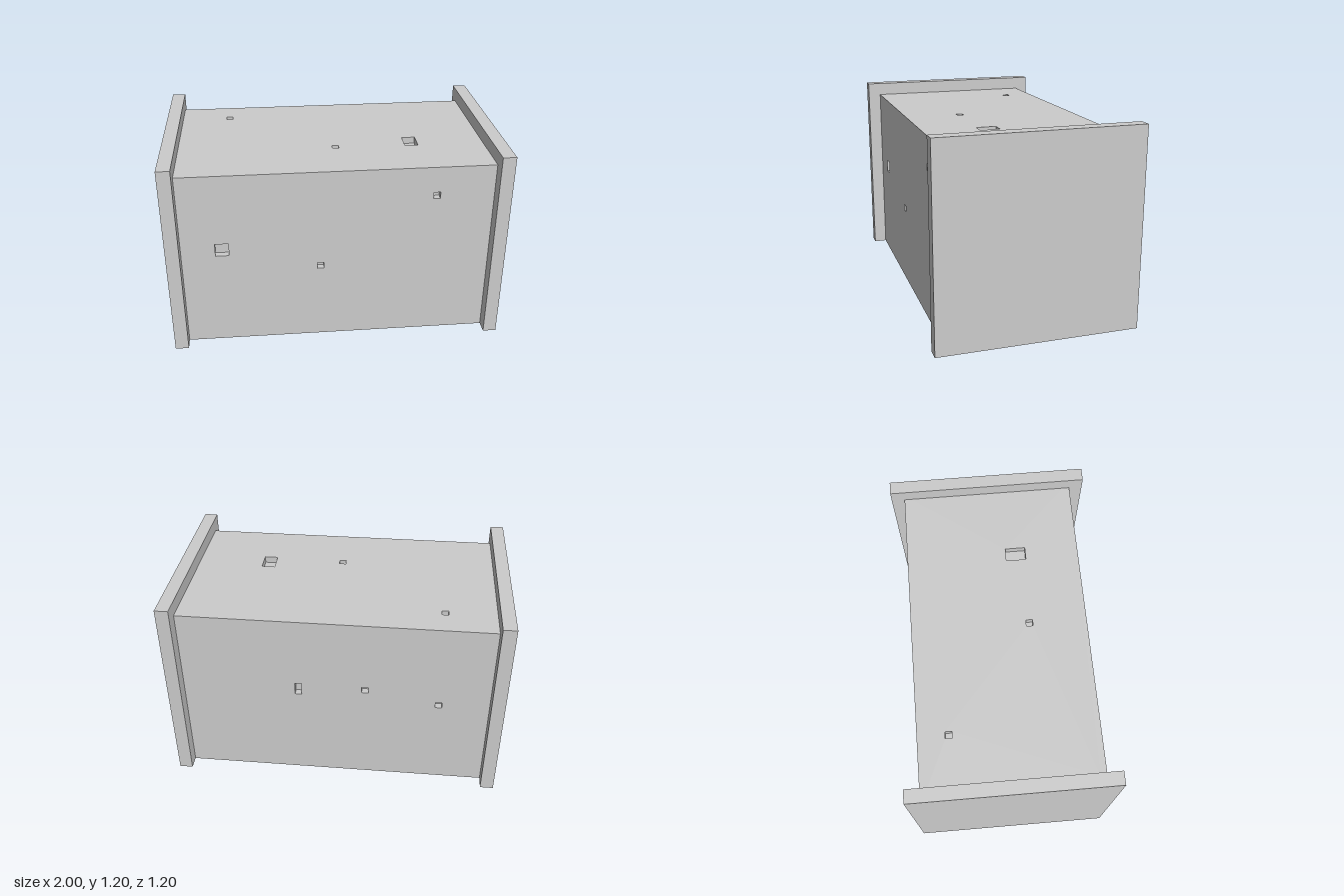
import * as THREE from 'three';

const U = 0.04; // pocket depth and skin thickness

// Rectangle path from [x0, x1, y0, y1]
function rectangle(path, [x0, x1, y0, y1]) {
  path.moveTo(x0, y0);
  path.lineTo(x1, y0);
  path.lineTo(x1, y1);
  path.lineTo(x0, y1);
  path.closePath();
  return path;
}

// Flat skin with rectangular openings, one pocket depth thick
function skin(outline, openings) {
  const shape = rectangle(new THREE.Shape(), outline);
  for (const o of openings) shape.holes.push(rectangle(new THREE.Path(), o));
  return new THREE.ExtrudeGeometry(shape, { depth: U, bevelEnabled: false });
}

export function createModel() {
  const model = new THREE.Group();
  model.name = 'crate';
  const material = new THREE.MeshStandardMaterial({ color: 0xcccccc, flatShading: true });
  const add = (name, geometry) => {
    const mesh = new THREE.Mesh(geometry, material);
    mesh.name = name;
    model.add(mesh);
    return mesh;
  };

  // Square end plates
  for (const [name, side] of [['leftEndPlate', 1], ['rightEndPlate', -1]]) {
    add(name, new THREE.BoxGeometry(0.08, 1.2, 1.2)).position.set(side * 0.96, 0.6, 0);
  }

  // Solid core, forming the pocket floors
  add('bodyCore', new THREE.BoxGeometry(1.84, 1.08, 0.96)).position.y = 0.54;

  // Front skin with one large and two small pockets
  add('frontSkin', skin([-0.92, 0.92, 0, 1.12], [
    [-0.72, -0.64, 0.60, 0.68],
    [-0.12, -0.08, 0.48, 0.52],
    [0.56, 0.60, 0.92, 0.96],
  ])).position.z = 0.48;

  // Back skin with one tall and two small pockets
  add('backSkin', skin([-0.92, 0.92, 0, 1.12], [
    [0.20, 0.24, 0.60, 0.68],
    [-0.20, -0.16, 0.64, 0.68],
    [-0.64, -0.60, 0.56, 0.60],
  ])).position.z = -0.52;

  // Top skin, drawn with y = -z and laid flat
  add('topSkin', skin([-0.92, 0.92, -0.48, 0.48], [
    [0.44, 0.52, -0.20, -0.08],
    [0, 0.04, -0.20, -0.16],
    [-0.64, -0.60, 0.32, 0.36],
  ]).rotateX(-Math.PI / 2)).position.y = 1.08;

  return model;
}
